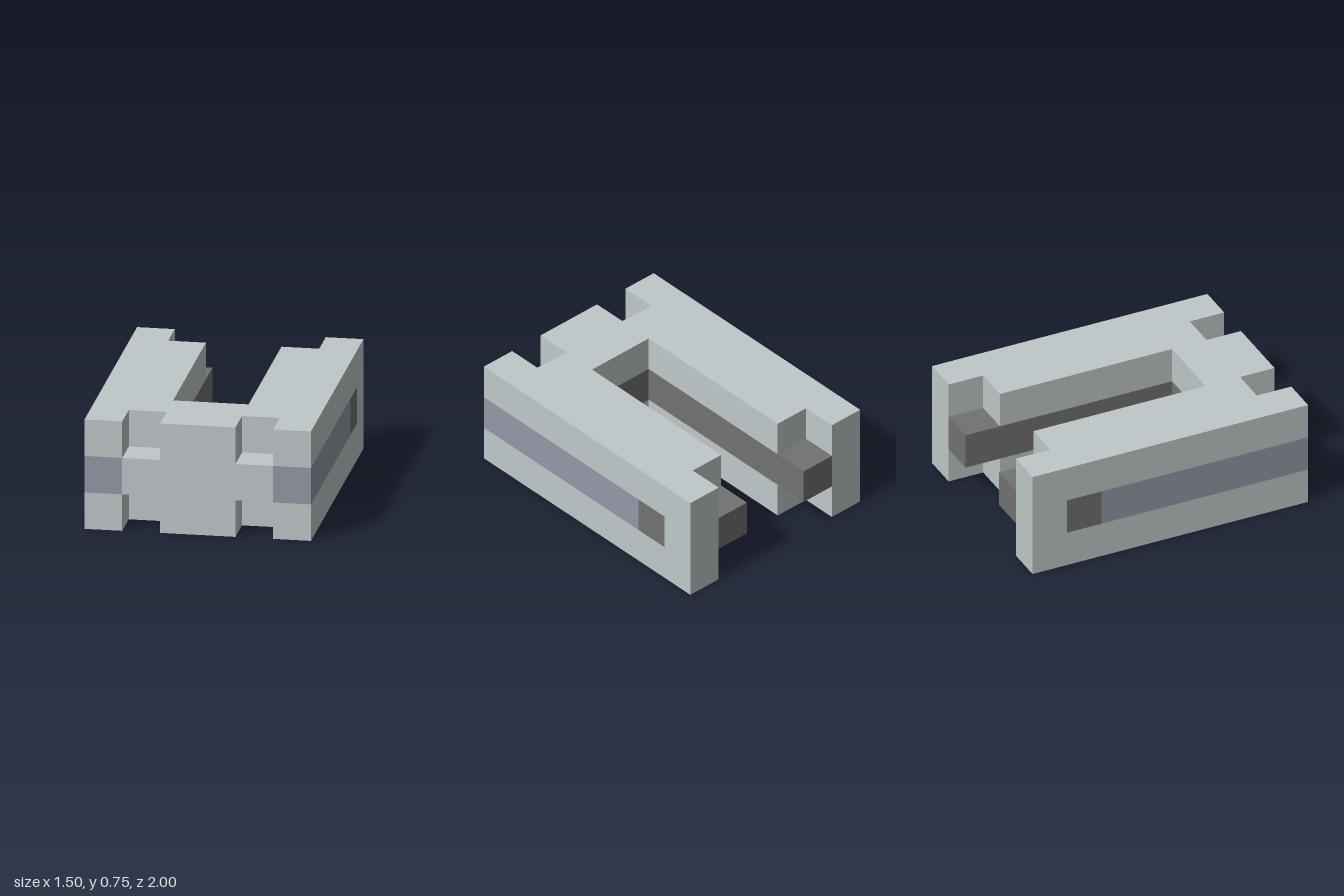
import * as THREE from 'three';

const U = 0.25; // block size

export function createModel() {
  const model = new THREE.Group();
  model.name = 'forkedBlock';
  const mat = (name, color) => {
    const m = new THREE.MeshStandardMaterial({ color });
    m.name = name;
    return m;
  };
  const shell = mat('pale grey', 0xc0c8c9);
  const stripe = mat('slate blue', 0x9599a7);
  const dark = mat('dark grey', 0x727272);

  // Box between two corners
  const box = (name, material, x0, x1, y0, y1, z0, z1) => {
    const mesh = new THREE.Mesh(new THREE.BoxGeometry(x1 - x0, y1 - y0, z1 - z0), material);
    mesh.position.set((x0 + x1) / 2, (y0 + y1) / 2, (z0 + z1) / 2);
    mesh.name = name;
    model.add(mesh);
  };

  // Upper and lower plates: a U outline notched at all four ends
  const half = [[0.25, 0.5], [0.25, -0.75], [0.5, -0.75], [0.5, -1], [0.75, -1],
    [0.75, 1], [0.5, 1], [0.5, 0.75], [0.25, 0.75], [0.25, 1]];
  const outline = [...half, ...half.map(([x, z]) => [-x, z]).reverse()];
  const plate = new THREE.ExtrudeGeometry(
    new THREE.Shape(outline.map(([x, z]) => new THREE.Vector2(x, -z))),
    { depth: U, bevelEnabled: false });
  plate.rotateX(-Math.PI / 2);
  for (const [name, y] of [['lowerPlate', 0], ['upperPlate', 2 * U]]) {
    const mesh = new THREE.Mesh(plate, shell);
    mesh.position.y = y;
    mesh.name = name;
    model.add(mesh);
  }

  // Middle layer: front bridge with a dark inner wall
  box('frontBridge', shell, -0.5, 0.5, U, 2 * U, 0.75, 1);
  box('innerEndWall', dark, -0.5, 0.5, U, 2 * U, 0.5, 0.75);

  // Middle layer of each arm: inner rail, side stripe, side light and rear end
  for (const [side, s] of [['left', 1], ['right', -1]]) {
    const arm = (name, material, a, b, z0, z1) =>
      box(side + name, material, Math.min(s * a, s * b), Math.max(s * a, s * b), U, 2 * U, z0, z1);
    arm('InnerRail', dark, 0.25, 0.5, -1, 0.5);
    arm('SideStripe', stripe, 0.5, 0.75, -0.5, 1);
    arm('SideLight', dark, 0.5, 0.75, -0.75, -0.5);
    arm('RearEnd', shell, 0.5, 0.75, -1, -0.75);
  }
  return model;
}
